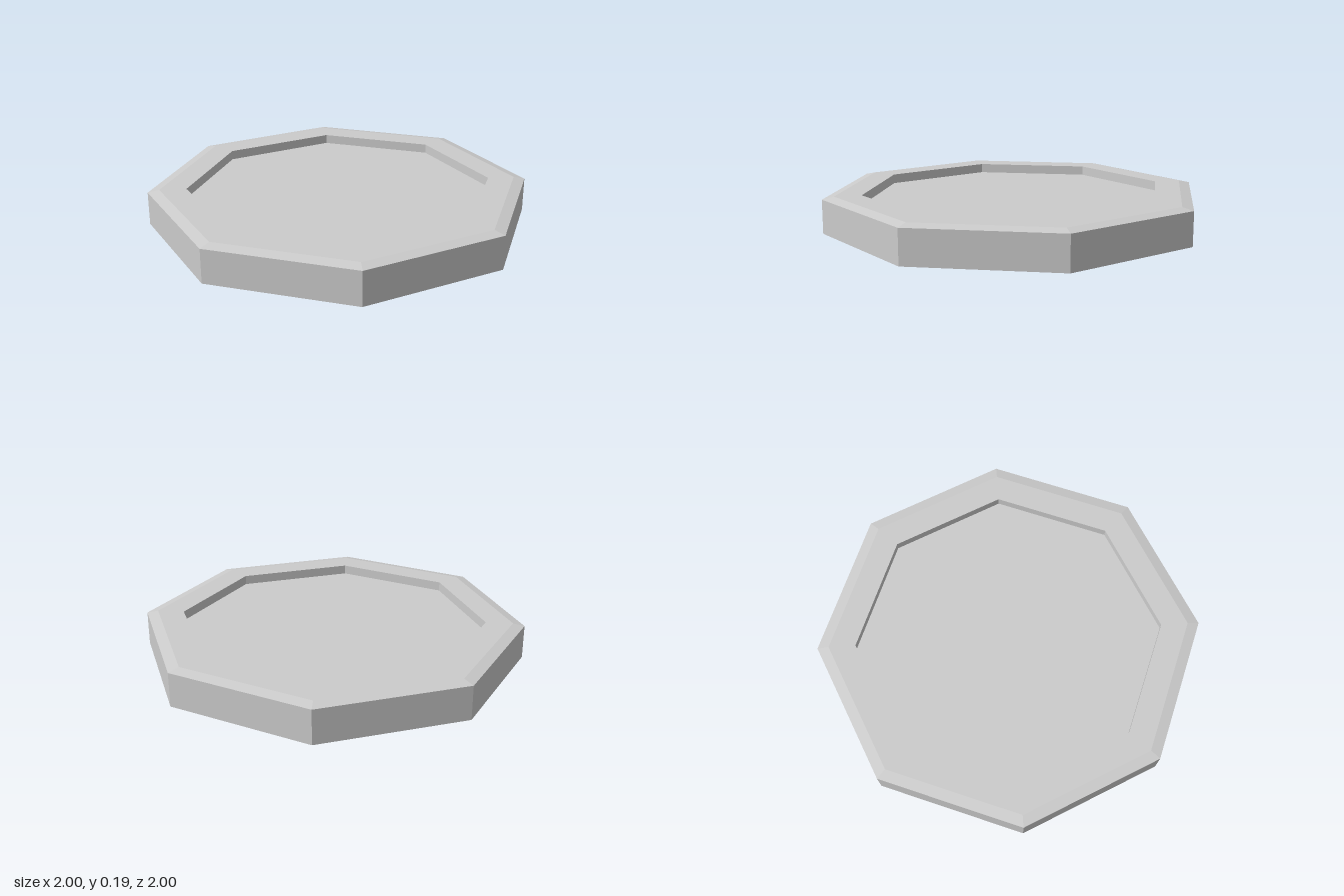
import * as THREE from 'three';

const SIDES = 8;

// Revolve an [radius, height] profile into a faceted octagonal solid
function facetedLathe(name, profile) {
  const points = profile.map(([r, y]) => new THREE.Vector2(r, y));
  const geometry = new THREE.LatheGeometry(points, SIDES).toNonIndexed();
  geometry.computeVertexNormals();
  const material = new THREE.MeshStandardMaterial({ color: 0xcccccc, flatShading: true });
  const mesh = new THREE.Mesh(geometry, material);
  mesh.name = name;
  return mesh;
}

export function createModel() {
  const group = new THREE.Group();
  group.name = 'octagonalTray';

  // Base, outer wall, bevelled edge, flat rim and recess wall
  group.add(facetedLathe('body', [
    [0, 0],
    [1, 0],
    [1, 0.177],
    [0.94, 0.19],
    [0.8, 0.19],
    [0.8, 0.14],
  ]));

  // Sunken floor
  group.add(facetedLathe('recessFloor', [[0.8, 0.14], [0, 0.14]]));

  return group;
}
